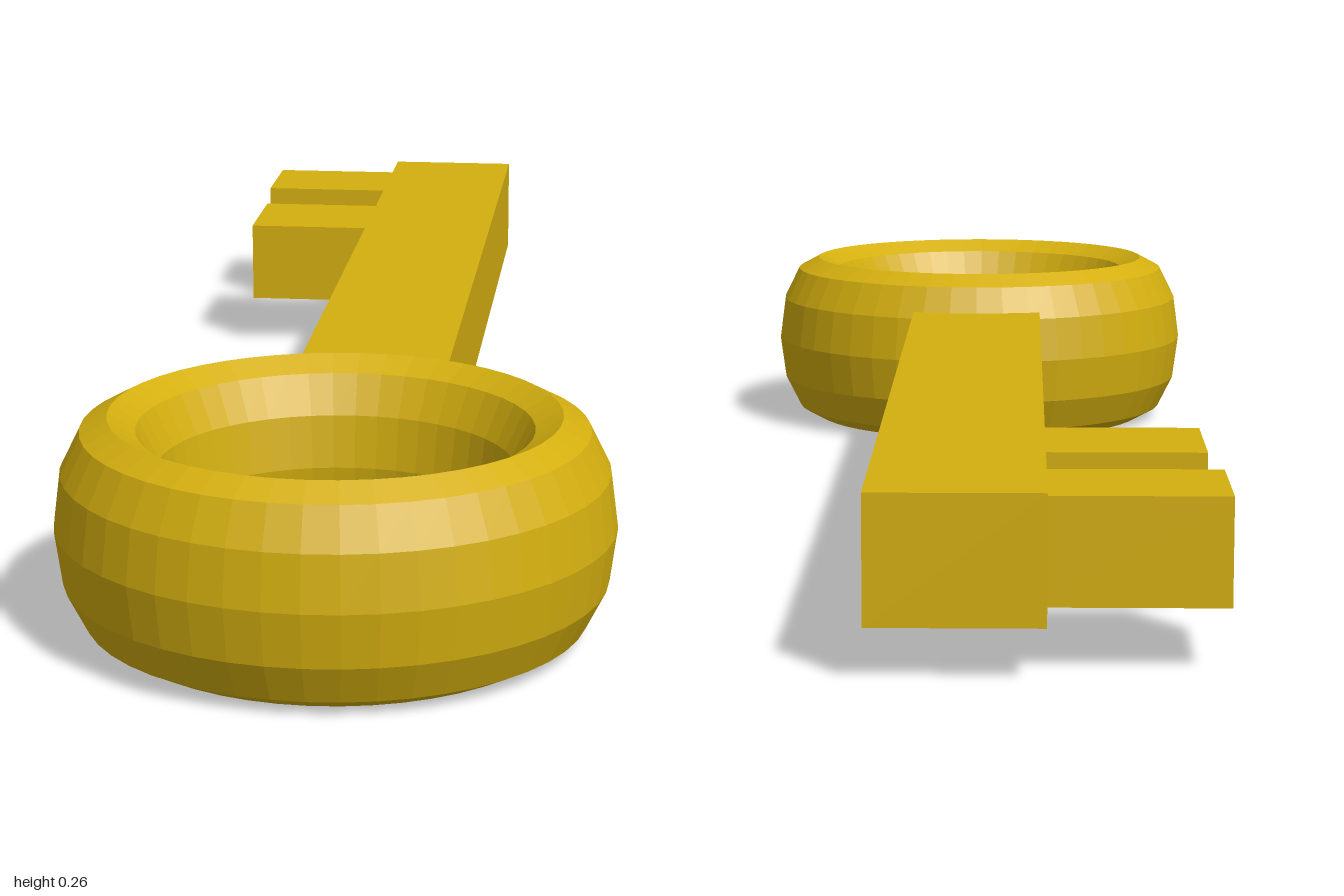
import * as THREE from 'three';

export function createModel() {
  const key = new THREE.Group();
  key.name = 'key';
  const gold = new THREE.MeshStandardMaterial({ color: 0xd4af0f, flatShading: true });

  const add = (name, geometry, x, y, z) => {
    const mesh = new THREE.Mesh(geometry, gold);
    mesh.name = name;
    mesh.position.set(x, y, z);
    key.add(mesh);
  };
  // Box given by its lower and upper limits on each axis
  const addBox = (name, [x0, x1], [y0, y1], [z0, z1]) =>
    add(name, new THREE.BoxGeometry(x1 - x0, y1 - y0, z1 - z0),
      (x0 + x1) / 2, (y0 + y1) / 2, (z0 + z1) / 2);

  // Ring handle: a lying torus, stretched upward and slightly shortened in depth
  const ring = new THREE.TorusGeometry(0.265, 0.065, 12, 48);
  ring.rotateX(-Math.PI / 2);
  ring.scale(1, 2.01, 0.948);
  add('ringHandle', ring, 0, 0.131, 0.687);

  // Shaft, its front end buried in the ring
  addBox('shaft', [-0.098, 0.098], [0.06, 0.206], [-1, 0.42]);

  // Teeth on the right side, slightly thinner than the shaft
  addBox('endTooth', [-0.297, -0.09], [0.073, 0.195], [-0.96, -0.81]);
  addBox('innerTooth', [-0.286, -0.09], [0.073, 0.193], [-0.7, -0.537]);

  return key;
}
